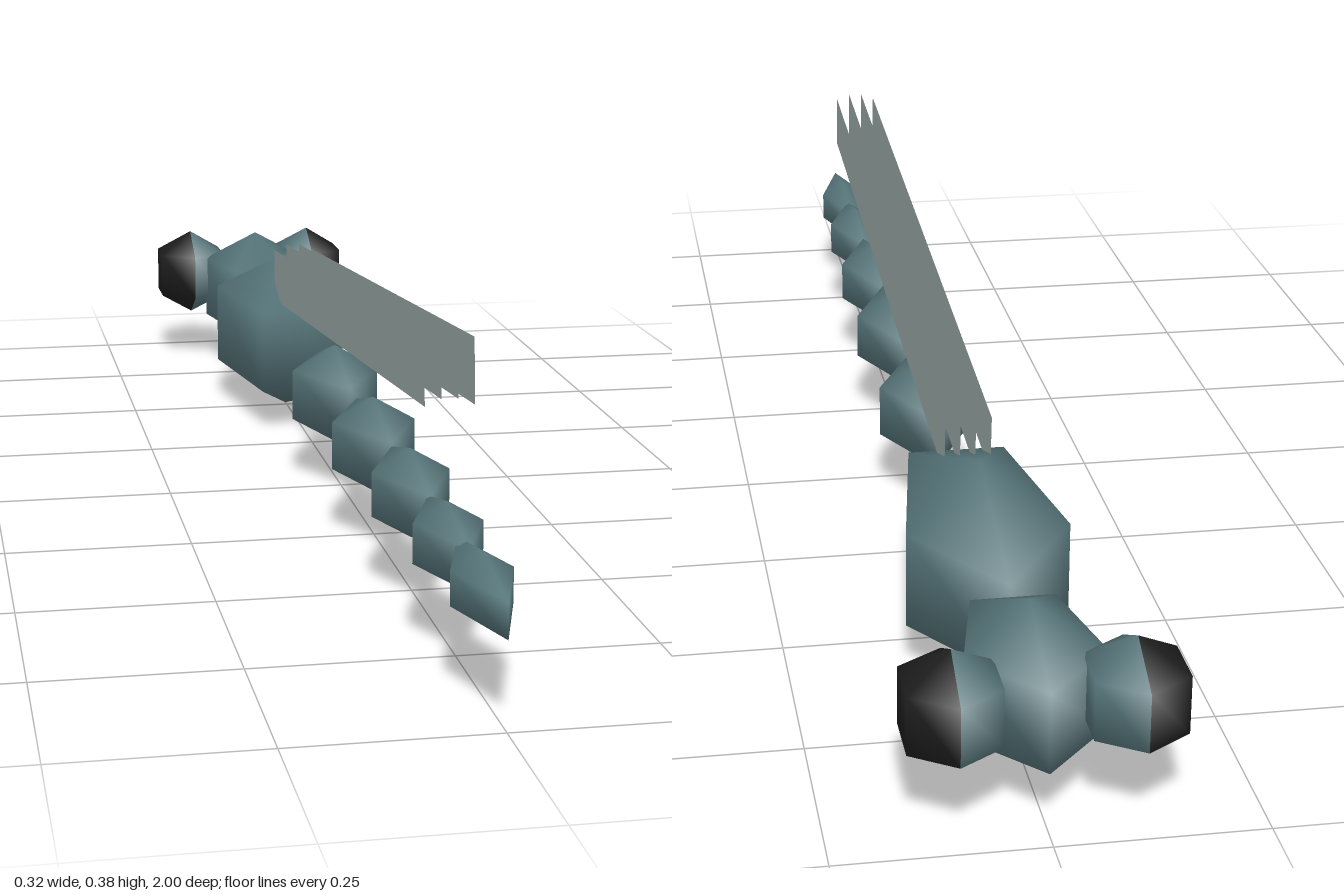
import * as THREE from 'three';

const body = new THREE.MeshStandardMaterial({ name: 'slate body', color: 0x56757a });
const wing = new THREE.MeshStandardMaterial({ name: 'pale wing', color: 0x9dacaa, side: THREE.DoubleSide });
const dark = new THREE.MeshStandardMaterial({ name: 'eye black', color: 0x1e1e1e });

// Coarse smooth-shaded ball, three bands high, stretched along z.
function ball(name, material, sides, r, stretch, pos, phiStart = -Math.PI / 2, phiLength = Math.PI * 2) {
  const mesh = new THREE.Mesh(new THREE.SphereGeometry(r, sides, 3, phiStart, phiLength), material);
  mesh.name = name;
  mesh.scale.z = stretch;
  mesh.position.set(...pos);
  return mesh;
}

export function createModel() {
  const model = new THREE.Group();
  model.name = 'damselfly';
  const axisY = 0.126;

  // Five-sided thorax and head, pointed towards the back
  model.add(ball('thorax', body, 5, 0.125, 2.01, [0, axisY, -0.512]));
  model.add(ball('head', body, 5, 0.101, 1.46, [0, axisY + 0.002, -0.845]));

  // Tail segments: z centre, radius, half length
  const tail = [
    [-0.05, 0.0725, 0.125],
    [0.246, 0.0655, 0.125],
    [0.49, 0.058, 0.12],
    [0.705, 0.0495, 0.112],
    [0.877, 0.042, 0.123],
  ];
  tail.forEach(([z, r, half], i) => {
    model.add(ball('tailSegment' + (i + 1), body, 4, r, half / (r * Math.sin(Math.PI / 3)), [0, axisY + 0.001, z]));
  });

  // Eyes: black outer half, body-coloured inner half
  for (const side of [1, -1]) {
    const eye = new THREE.Group();
    eye.name = side > 0 ? 'leftEye' : 'rightEye';
    const start = side * Math.PI / 2;
    eye.add(ball('outerEye', dark, 2, 0.0725, 1.12, [0, 0, 0], start, Math.PI));
    eye.add(ball('innerEye', body, 2, 0.0725, 1.12, [0, 0, 0], -start, Math.PI));
    eye.position.set(side * 0.105, 0.147, -0.93);
    model.add(eye);
  }

  // Four folded wings: upright parallel sheets rising towards the tail tip
  const wingShape = new THREE.PlaneGeometry(1.137, 0.08).rotateY(Math.PI / 2);
  for (const side of [1, -1]) {
    for (const [name, x, dy] of [['foreWing', 0.03, -0.004], ['hindWing', 0.01, 0.004]]) {
      const sheet = new THREE.Mesh(wingShape, wing);
      sheet.name = (side > 0 ? 'left ' : 'right ') + name;
      sheet.position.set(side * x, 0.287 + dy, 0.139);
      sheet.rotation.x = -0.088;
      model.add(sheet);
    }
  }
  return model;
}
